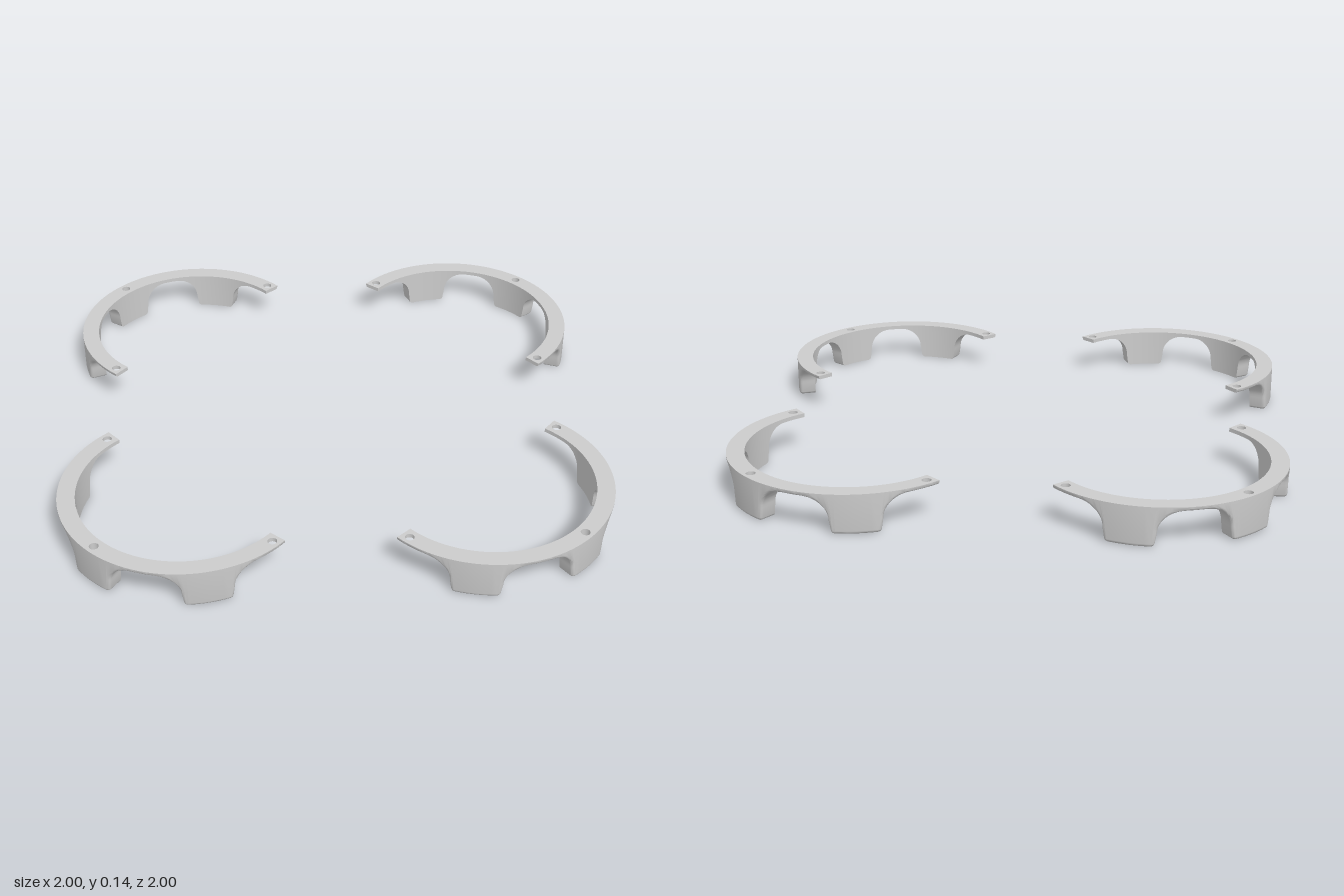
import * as THREE from 'three';
import { toCreasedNormals } from 'three/addons/utils/BufferGeometryUtils.js';

const RI = 0.395, RO = 0.46, RM = 0.43;   // inner, outer and hole-circle radii
const H = 0.145, FLANGE = 0.13;           // top and underside of the flange
const HOLE = 0.017, ROUND = 0.012, CENTRE = 0.54;
const END = 94 * Math.PI / 180;           // half sweep of one ring
const rad = (d) => d * Math.PI / 180;

// Point on the ring; angle 0 faces +z
const polar = (r, a, y) => new THREE.Vector3(r * Math.sin(a), y, r * Math.cos(a));

// Half outline of a leg from its centre: flat foot, rounded corner, arch fillet
function halfLeg() {
  const p = [[0, 0], [rad(4) * RM, 0]];
  for (let i = 0; i <= 5; i++) {
    const t = i / 5 * Math.PI / 2;
    p.push([0.0675 + 0.015 * Math.sin(t), 0.015 - 0.015 * Math.cos(t)]);
  }
  for (let i = 0; i <= 12; i++) {
    const t = i / 12 * Math.PI / 2;
    p.push([0.18 - 0.092 * Math.cos(t), 0.05 + (FLANGE - 0.05) * Math.sin(t)]);
  }
  return p.map(([s, y]) => [s / RM, y]);
}

// Lower outline of the whole ring as [angle, y], filled in to small steps
function lowerOutline() {
  const half = halfLeg();
  const raw = [[-END, FLANGE], [-rad(86), FLANGE]];
  for (const c of [-56, 0, 56].map(rad)) {
    raw.push(...half.slice(1).reverse().map(([a, y]) => [c - a, y]));
    raw.push(...half.map(([a, y]) => [c + a, y]));
  }
  raw.push([rad(86), FLANGE], [END, FLANGE]);
  const out = [raw[0]];
  for (let i = 1; i < raw.length; i++) {
    const [a0, y0] = raw[i - 1], [a1, y1] = raw[i];
    const n = Math.max(1, Math.ceil((a1 - a0) / rad(2.5)));
    for (let k = 1; k <= n; k++) out.push([a0 + (a1 - a0) * k / n, y0 + (y1 - y0) * k / n]);
  }
  return out;
}

// Flat ring sector with round holes, facing up or down
function sector(out, angles, rOuter, y, holes, up) {
  const flat = (r, a) => new THREE.Vector2(r * Math.sin(a), -r * Math.cos(a));
  const shape = new THREE.Shape([
    ...angles.map((a) => flat(rOuter, a)),
    ...[...angles].reverse().map((a) => flat(RI, a)),
  ]);
  for (const h of holes) {
    const c = flat(RM, h);
    shape.holes.push(new THREE.Path().absarc(c.x, c.y, HOLE, 0, Math.PI * 2, true));
  }
  const geo = new THREE.ShapeGeometry(shape, 10).toNonIndexed();
  const p = geo.attributes.position;
  for (let i = 0; i < p.count; i += 3) {
    for (const k of up ? [0, 1, 2] : [0, 2, 1]) out.push(p.getX(i + k), y, -p.getY(i + k));
  }
}

function ringGeometry() {
  const line = lowerOutline(), angles = line.map((p) => p[0]), last = line.length - 1;
  const out = [];
  const tri = (...v) => v.forEach((p) => out.push(p.x, p.y, p.z));
  const holes = [-90, 0, 90].map(rad);
  const radius = (y) => Math.min(ROUND, 0.6 * (H - y));

  // Cross-sections with the lower outer edge rounded along the outline
  const columns = line.map(([a, y], i) => {
    const p = line[Math.max(0, i - 1)], q = line[Math.min(last, i + 1)];
    const ds = (q[0] - p[0]) * RM, dy = q[1] - p[1], len = Math.hypot(ds, dy);
    const R = radius(y), col = [polar(RI, a, H), polar(RO, a, H)];
    for (let k = 0; k <= 4; k++) {
      const t = k / 4 * Math.PI / 2, inset = R * (1 - Math.sin(t));
      col.push(polar(RO - R + R * Math.cos(t), a - dy / len * inset / RM, y + ds / len * inset));
    }
    col.push(polar(RI, a, y));
    return col;
  });
  const n = columns[0].length;
  const drilled = (a) => holes.some((h) => Math.abs(a - h) < rad(4));
  for (let i = 0; i < last; i++) {
    const A = columns[i], B = columns[i + 1];
    for (let j = 1; j < n; j++) {
      if (j === n - 2 && drilled((angles[i] + angles[i + 1]) / 2)) continue;
      const k = (j + 1) % n;
      tri(A[j], A[k], B[k]);
      tri(A[j], B[k], B[j]);
    }
  }

  // End caps
  for (let j = 1; j < n - 1; j++) {
    const A = columns[0], B = columns[last];
    tri(A[0], A[j + 1], A[j]);
    tri(B[0], B[j], B[j + 1]);
  }

  // Top face and the drilled patches underneath
  sector(out, angles, RO, H, holes, true);
  for (const h of holes) {
    const y = h === 0 ? 0 : FLANGE;
    const part = angles.filter((a) => Math.abs(a - h) < rad(4.01));
    sector(out, part, RO - radius(y), y, [h], false);
  }

  const geo = new THREE.BufferGeometry();
  geo.setAttribute('position', new THREE.Float32BufferAttribute(out, 3));
  return toCreasedNormals(geo, 0.6);
}

export function createModel() {
  const model = new THREE.Group();
  model.name = 'ringSet';
  const material = new THREE.MeshStandardMaterial({ color: 0xcccccc });
  const boreMaterial = new THREE.MeshStandardMaterial({ color: 0xcccccc, side: THREE.DoubleSide });
  const ringGeo = ringGeometry();
  const names = ['frontLeft', 'backLeft', 'backRight', 'frontRight'];

  names.forEach((name, i) => {
    const piece = new THREE.Group();
    piece.name = name + 'Ring';
    const angle = Math.PI / 4 + i * Math.PI / 2;
    piece.rotation.y = angle;
    piece.position.copy(polar(CENTRE * Math.SQRT2, angle, 0));

    const ring = new THREE.Mesh(ringGeo, material);
    ring.name = 'leggedRing';
    piece.add(ring);

    // Screw hole walls: through the middle leg and both end tabs
    for (const d of [-90, 0, 90]) {
      const y = d === 0 ? 0 : FLANGE;
      const bore = new THREE.Mesh(
        new THREE.CylinderGeometry(HOLE, HOLE, H - y, 20, 1, true), boreMaterial);
      bore.name = 'screwHole';
      bore.position.copy(polar(RM, rad(d), (H + y) / 2));
      piece.add(bore);
    }
    model.add(piece);
  });
  return model;
}
